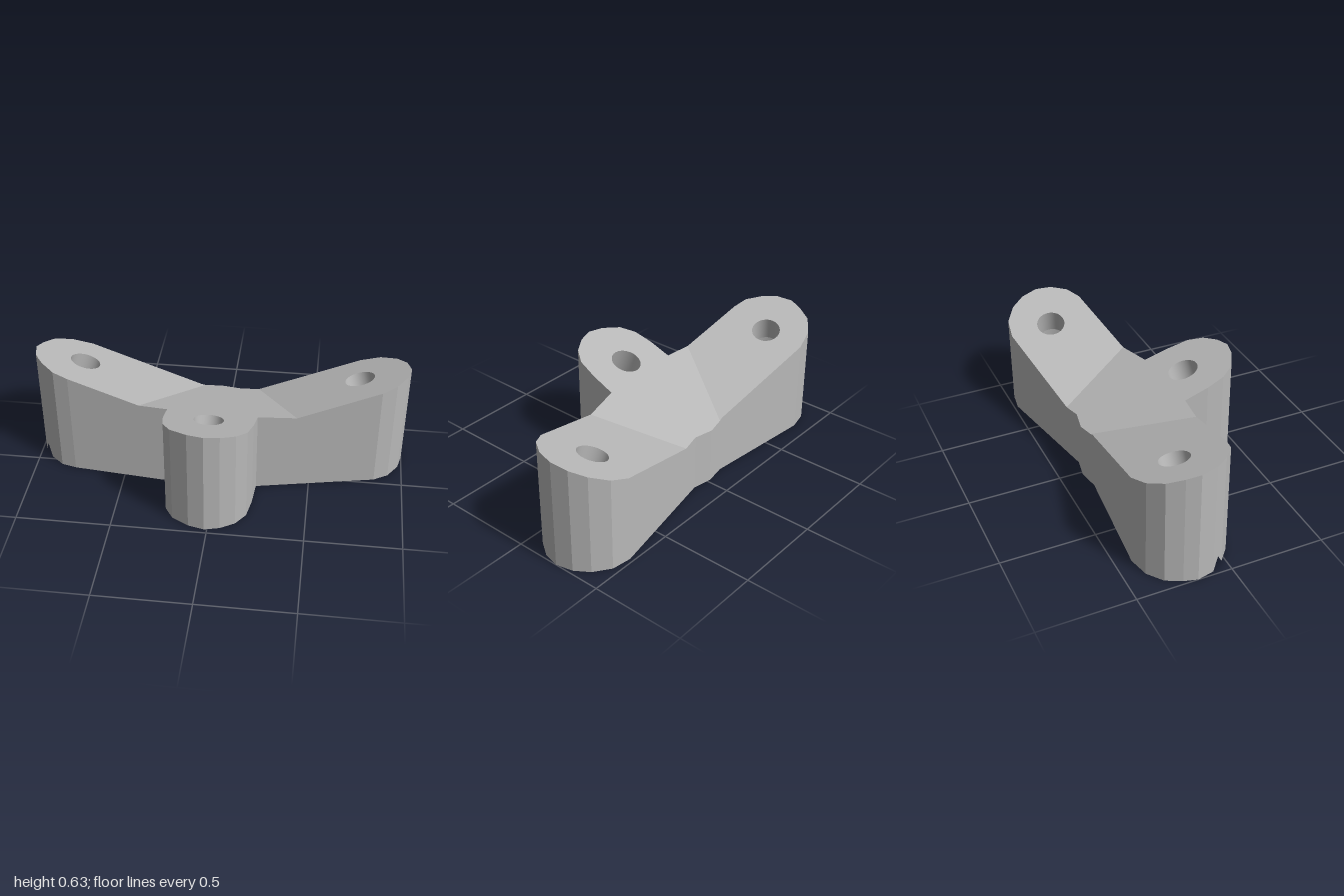
import * as THREE from 'three';
import { mergeGeometries } from 'three/addons/utils/BufferGeometryUtils.js';

// Sloping top planes: height as a function of x and z
const frontPlane = (x, z) => 0.4365 - 0.03 * x + 0.335 * z;
const leftPlane = (x, z) => 0.341 - 0.31 * x + 0.155 * z;
const rightPlane = (x, z) => 0.2955 + 0.332 * x + 0.14 * z;
const topHeight = (x, z) => Math.max(frontPlane(x, z), leftPlane(x, z), rightPlane(x, z));

// Footprint of the three-armed block, as [x, z]; an optional third value raises the wall foot
const OUTLINE = [
  [-0.25, 0.11], [-0.78, 0.06], [-0.86, 0.04], [-0.93, -0.02], [-0.957, -0.055, 0.065], [-0.98, -0.09],
  [-1, -0.18], [-0.98, -0.25], [-0.94, -0.33], [-0.86, -0.39], [-0.75, -0.415], [-0.13, -0.355],
  [-0.02, -0.375], [0.09, -0.355], [0.74, -0.48], [0.845, -0.465], [0.93, -0.405], [0.98, -0.33],
  [1, -0.24], [0.98, -0.155], [0.925, -0.075], [0.85, -0.03], [0.22, 0.1], [0.21, 0.23],
  [0.19, 0.34], [0.14, 0.41], [0.065, 0.455], [-0.015, 0.475], [-0.1, 0.455], [-0.19, 0.405],
  [-0.235, 0.335], [-0.25, 0.24],
];

// Each arm: its plane, the bolt hole at the top, the outward direction and the bore at the foot
const ARMS = [
  { name: 'right', plane: leftPlane, hole: [-0.74, -0.19], out: [-0.89, 0.45], bore: [-0.797, -0.155] },
  { name: 'left', plane: rightPlane, hole: [0.735, -0.25], out: [0.92, 0.39], bore: [0.795, -0.22] },
  { name: 'front', plane: frontPlane, hole: [-0.02, 0.21], out: [0, 1], bore: [-0.02, 0.285] },
];
const SEGMENTS = 28;

// Adds the points where the outline crosses the line g = 0
function splitOutline(points, g) {
  const result = [];
  points.forEach((p, i) => {
    const q = points[(i + 1) % points.length];
    const a = g(p[0], p[1]), b = g(q[0], q[1]);
    result.push(p);
    if (a * b < 0) {
      const t = a / (a - b);
      result.push([p[0] + (q[0] - p[0]) * t, p[1] + (q[1] - p[1]) * t]);
    }
  });
  return result;
}

// Ring of points around a centre, each at the height given by a rule
function ring([cx, cz], radius, height) {
  return Array.from({ length: SEGMENTS }, (_, i) => {
    const a = (i / SEGMENTS) * Math.PI * 2;
    const x = cx + radius * Math.cos(a), z = cz + radius * Math.sin(a);
    return new THREE.Vector3(x, height(x, z), z);
  });
}

// Smooth band between two closed rings
function band(upper, lower, facingIn) {
  const n = upper.length, index = [];
  for (let i = 0; i < n; i++) {
    const j = (i + 1) % n;
    if (facingIn) index.push(i, n + i, j, j, n + i, n + j);
    else index.push(i, j, n + i, j, n + j, n + i);
  }
  const geometry = new THREE.BufferGeometry().setFromPoints([...upper, ...lower]);
  geometry.setIndex(index);
  geometry.computeVertexNormals();
  return geometry;
}

// Flat face with holes, laid on a height rule and turned up or down
function face(points, holes, height, up) {
  const shape = new THREE.Shape(points.map((p) => new THREE.Vector2(p[0], p[1])));
  for (const h of holes) shape.holes.push(new THREE.Path(h.map((v) => new THREE.Vector2(v.x, v.z))));
  const geometry = new THREE.ShapeGeometry(shape);
  const pos = geometry.attributes.position;
  for (let i = 0; i < pos.count; i++) {
    const x = pos.getX(i), z = pos.getY(i);
    pos.setXYZ(i, x, height(x, z), z);
  }
  if (up) geometry.index.array.reverse();
  geometry.computeVertexNormals();
  return geometry;
}

export function createModel() {
  const model = new THREE.Group();
  model.name = 'threeArmBracket';
  const grey = new THREE.MeshStandardMaterial({ color: 0xb8b8b8 });
  grey.name = 'grey';
  const add = (name, geometry) => {
    const mesh = new THREE.Mesh(geometry, grey);
    mesh.name = name;
    model.add(mesh);
  };

  // Valleys where the side arms meet the front slope
  const leftValley = (x, z) => leftPlane(x, z) - frontPlane(x, z);
  const rightValley = (x, z) => rightPlane(x, z) - frontPlane(x, z);
  const outline = splitOutline(splitOutline(OUTLINE, leftValley), rightValley);

  // Faceted side wall
  const wall = band(
    outline.map(([x, z]) => new THREE.Vector3(x, topHeight(x, z), z)),
    outline.map(([x, z, foot = 0]) => new THREE.Vector3(x, foot, z)), false).toNonIndexed();
  wall.computeVertexNormals();
  add('sideWall', wall);

  const boreRims = [];
  for (const { name, plane, hole, out, bore } of ARMS) {
    // Bolt hole square to the slope, opening into a wide bore below
    const seat = (x, z) => plane(x, z) - 0.15;
    const seatCentre = [hole[0] + out[0] * 0.045, hole[1] + out[1] * 0.045];
    const topRim = ring(hole, 0.077, plane);
    const lowRim = ring(seatCentre, 0.077, seat);
    const seatRim = ring(seatCentre, 0.16, seat);
    const boreRim = ring(bore, 0.175, () => 0);
    boreRims.push(boreRim);
    add(name + 'Bore', mergeGeometries([
      band(topRim, lowRim, true), band(lowRim, seatRim, true), band(seatRim, boreRim, true),
    ]));

    // Sloping top face of this arm
    const region = outline.filter(([x, z]) => plane(x, z) >= topHeight(x, z) - 1e-7);
    add(name + 'Top', face(region, [topRim], plane, true));
  }

  // Flat underside
  add('underside', face(outline, boreRims, () => 0, false));
  return model;
}
